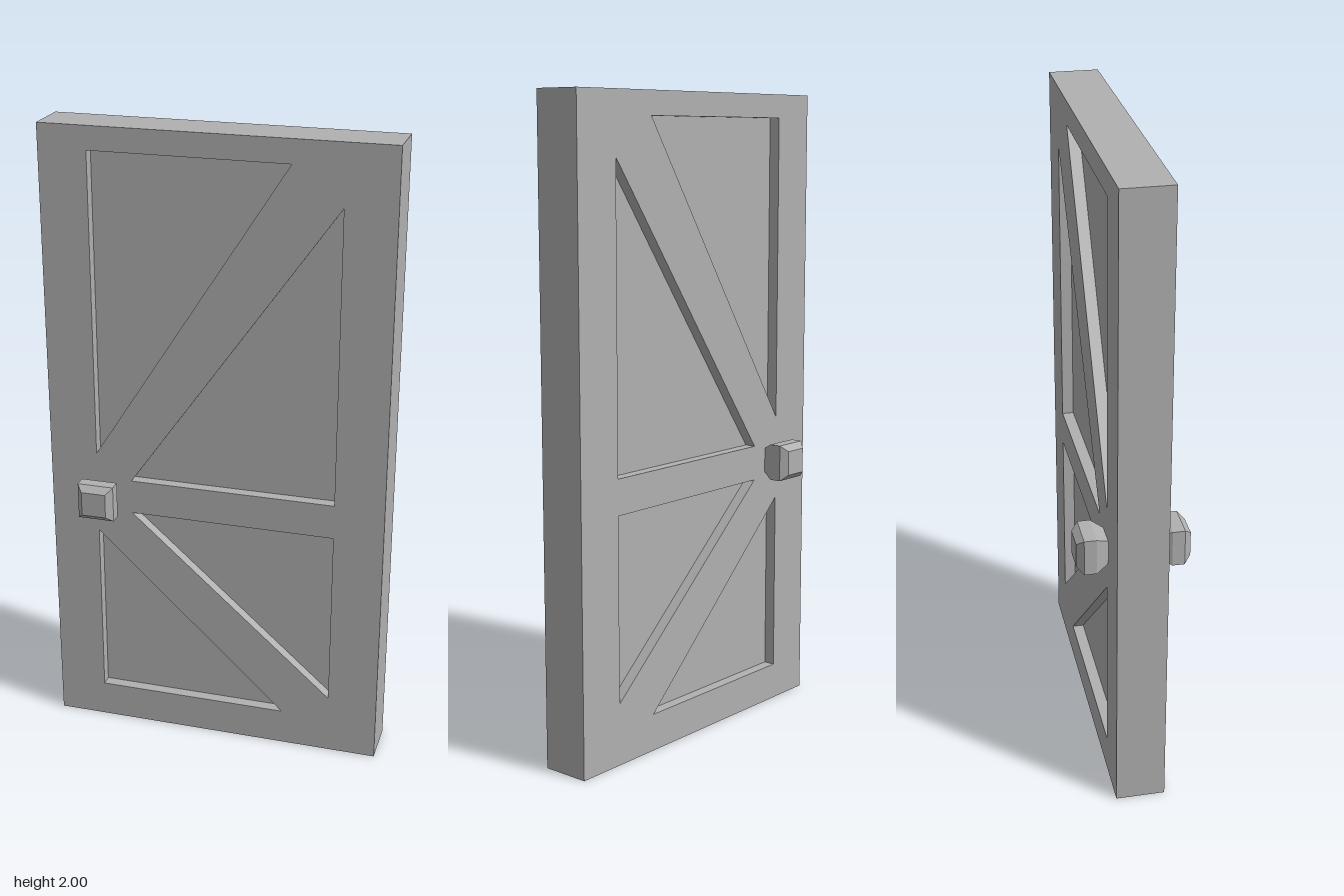
import * as THREE from 'three';

const HALF_W = 0.538, HEIGHT = 2, HALF_T = 0.0765, RECESS = 0.036;

// Triangular panels between the rails, stiles and braces
const PANELS = {
  upperLatchPanel: [[-0.386, 1.927], [-0.386, 0.965], [0.228, 1.927]],
  upperHingePanel: [[0.381, 1.811], [-0.272, 0.883], [0.381, 0.883]],
  lowerHingePanel: [[0.381, 0.194], [0.381, 0.772], [-0.272, 0.772]],
  lowerLatchPanel: [[-0.386, 0.695], [-0.386, 0.117], [0.228, 0.117]],
};

const toPoints = (list) => list.map(([x, y]) => new THREE.Vector2(x, y));

// Extrudes a shape evenly to both sides of z = 0
function slab(shape, halfDepth) {
  const geometry = new THREE.ExtrudeGeometry(shape, { depth: 2 * halfDepth, bevelEnabled: false });
  return geometry.translate(0, 0, -halfDepth);
}

// Square knob: a four-sided lathe of half-widths along its axis, with flat faces
function knobGeometry() {
  const profile = [[0.039, 0], [0.058, 0.037], [0.058, 0.075], [0.039, 0.096], [0, 0.096]]
    .map(([half, h]) => new THREE.Vector2(half * Math.SQRT2, h));
  const geometry = new THREE.LatheGeometry(profile, 4, Math.PI / 4)
    .rotateX(Math.PI / 2).toNonIndexed();
  geometry.computeVertexNormals();
  return geometry;
}

export function createModel() {
  const door = new THREE.Group();
  door.name = 'door';
  const grey = new THREE.MeshStandardMaterial({ color: 0xb0b0b0 });
  grey.name = 'grey';

  const add = (name, geometry) => {
    const mesh = new THREE.Mesh(geometry, grey);
    mesh.name = name;
    door.add(mesh);
    return mesh;
  };

  // Frame with braces, cut through where the panels sit
  const outline = new THREE.Shape(toPoints([
    [-HALF_W, 0], [HALF_W, 0], [HALF_W, HEIGHT], [-HALF_W, HEIGHT],
  ]));
  for (const corners of Object.values(PANELS)) {
    outline.holes.push(new THREE.Path(toPoints(corners)));
  }
  add('frame', slab(outline, HALF_T));

  // Recessed panels, seen from both sides
  for (const [name, corners] of Object.entries(PANELS)) {
    add(name, slab(new THREE.Shape(toPoints(corners)), HALF_T - RECESS));
  }

  // Knobs on both faces
  for (const side of [1, -1]) {
    const knob = add(side > 0 ? 'frontKnob' : 'backKnob', knobGeometry());
    knob.position.set(-0.366, 0.83, side * HALF_T);
    if (side < 0) knob.rotation.y = Math.PI;
  }

  return door;
}
